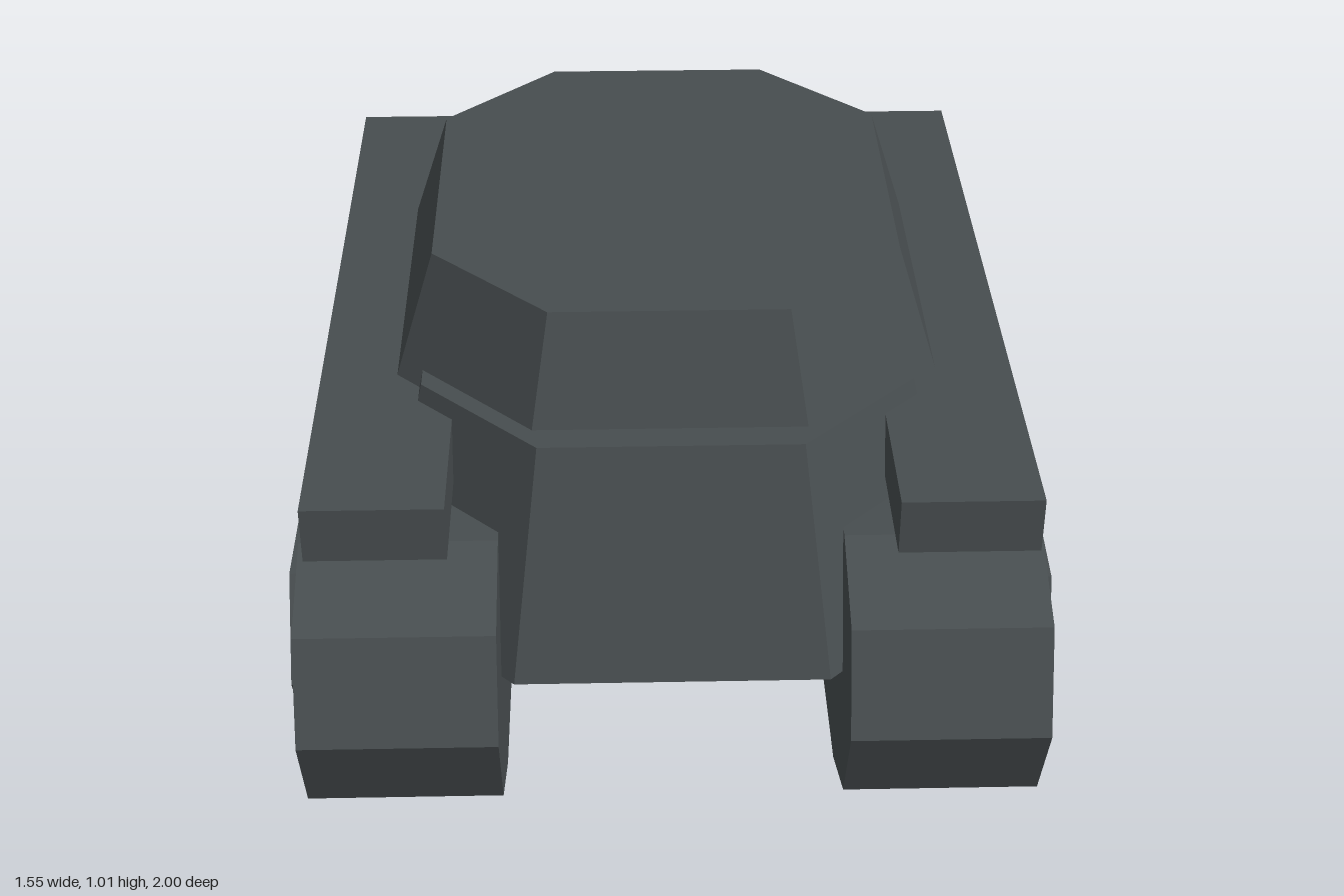
import * as THREE from 'three';

const material = new THREE.MeshStandardMaterial({ color: 0x474d4f, flatShading: true });

function add(parent, name, geometry) {
  const mesh = new THREE.Mesh(geometry, material);
  mesh.name = name;
  parent.add(mesh);
  return mesh;
}

// Side profile of [z, y] points, extruded along x from x0 to x1
function sidePlate(points, x0, x1) {
  const shape = new THREE.Shape(points.map(([z, y]) => new THREE.Vector2(z, y)));
  const geometry = new THREE.ExtrudeGeometry(shape, { depth: x1 - x0, bevelEnabled: false });
  return geometry.rotateY(-Math.PI / 2).translate(x1, 0, 0);
}

// Tapered eight-sided block: corners (a, z) and (x, b) in each quadrant
function taperedOctagon(a, z, x, b, yBottom, yTop, bottomScale) {
  const ring = [[a, z], [x, b], [x, -b], [a, -z], [-a, -z], [-x, -b], [-x, b], [-a, z]];
  const position = [];
  const index = [];
  for (const [y, s] of [[yBottom, bottomScale], [yTop, 1]])
    for (const [px, pz] of ring) position.push(px * s, y, pz * s);
  for (let i = 0; i < 8; i++) {
    const j = (i + 1) % 8;
    index.push(i, j, 8 + j, i, 8 + j, 8 + i);
    if (i > 0 && i < 7) index.push(8, 8 + i, 8 + j, 0, j, i);
  }
  const geometry = new THREE.BufferGeometry();
  geometry.setAttribute('position', new THREE.Float32BufferAttribute(position, 3));
  geometry.setIndex(index);
  const flat = geometry.toNonIndexed();
  flat.computeVertexNormals();
  return flat;
}

export function createModel() {
  const model = new THREE.Group();
  model.name = 'tank';

  // Body
  add(model, 'hull', taperedOctagon(0.265, 0.685, 0.505, 0.45, 0.31, 0.79, 1.21));
  add(model, 'turret', taperedOctagon(0.24, 0.543, 0.48, 0.305, 0.7, 1.015, 1.206));

  // Running gear on both sides
  const trackProfile = [
    [0.715, 0], [0.915, 0.09], [1, 0.295], [0.915, 0.505], [0.715, 0.588],
    [-0.715, 0.588], [-0.915, 0.505], [-1, 0.295], [-0.915, 0.09], [-0.715, 0],
  ];
  for (const side of [1, -1]) {
    const label = side > 0 ? 'left' : 'right';
    const [x0, x1] = side > 0 ? [0.347, 0.745] : [-0.745, -0.347];
    add(model, label + 'Track', sidePlate(trackProfile, x0, x1));

    // Fender shelf above the track
    add(model, label + 'Fender', new THREE.BoxGeometry(0.28, 0.12, 1.675))
      .position.set(side * 0.58, 0.695, 0);

    // Hexagonal wheels, standing slightly proud of the track
    const turn = side > 0 ? -0.125 : 0.01;
    const [w0, w1] = side > 0 ? [0.7, 0.773] : [-0.773, -0.7];
    for (const z of [0.58, 0, -0.58]) {
      const hexagon = Array.from({ length: 6 }, (_, i) => {
        const angle = turn + (i * Math.PI) / 3;
        return [z + 0.226 * Math.cos(angle), 0.297 + 0.226 * Math.sin(angle)];
      });
      add(model, label + 'Wheel', sidePlate(hexagon, w0, w1));
    }
  }
  return model;
}
